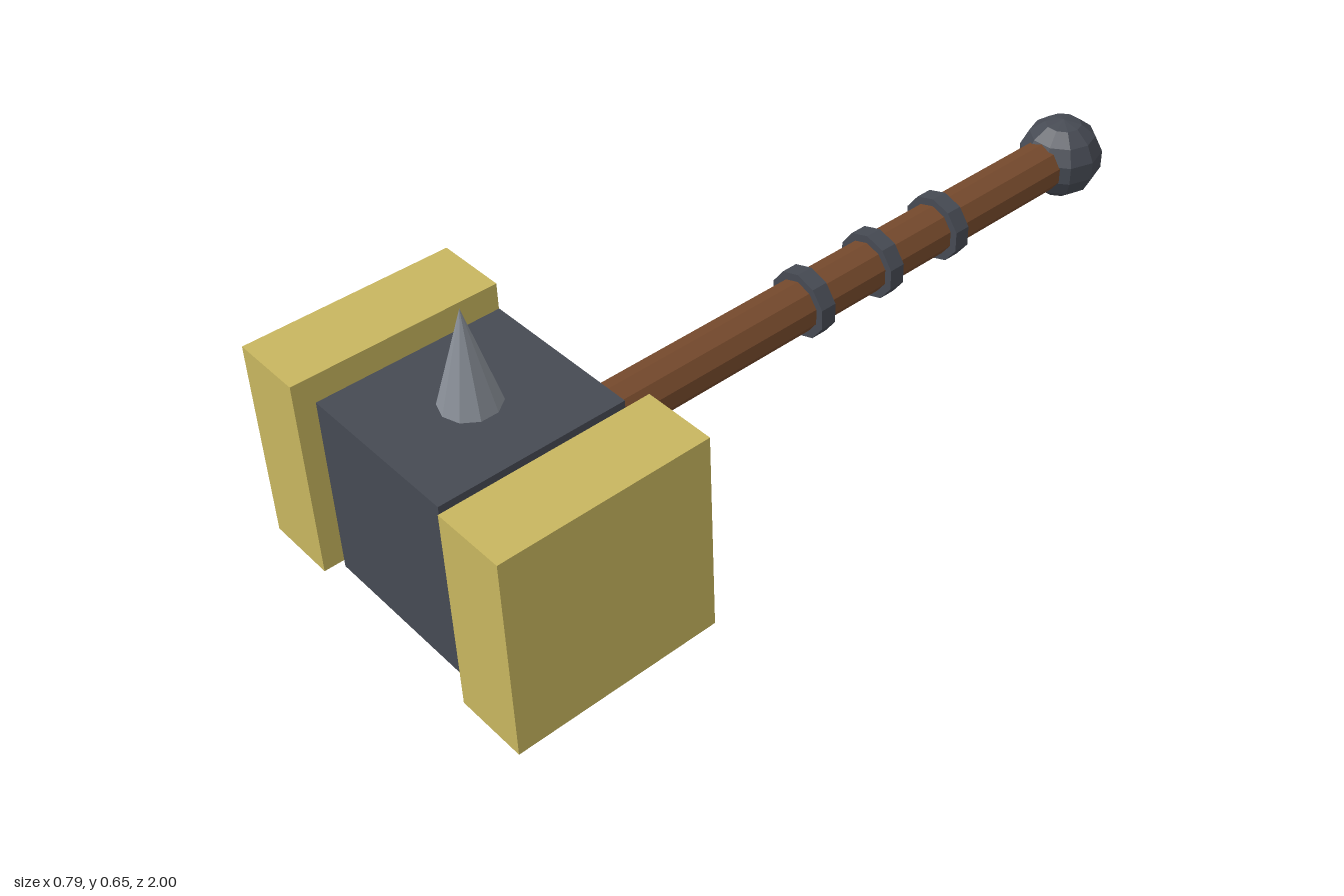
import * as THREE from 'three';

const AXIS_Y = 0.232; // height of the handle axis
const HEAD_Z = 0.768; // centre of the hammer head

function flatMaterial(name, color) {
  const m = new THREE.MeshStandardMaterial({ color, flatShading: true });
  m.name = name;
  return m;
}

export function createModel() {
  const iron = flatMaterial('dark iron', 0x464a53);
  const gold = flatMaterial('gold', 0xc8b65f);
  const steel = flatMaterial('steel', 0x888e96);
  const wood = flatMaterial('wood', 0x75492c);

  const group = new THREE.Group();
  group.name = 'warHammer';

  const add = (name, geometry, material, x, y, z) => {
    const mesh = new THREE.Mesh(geometry, material);
    mesh.name = name;
    mesh.position.set(x, y, z);
    group.add(mesh);
    return mesh;
  };
  // ten-sided rod lying along z
  const rod = (radius, length) =>
    new THREE.CylinderGeometry(radius, radius, length, 10).rotateX(Math.PI / 2);

  // Head: central block, necks and striking faces
  add('headBlock', new THREE.BoxGeometry(0.38, 0.413, 0.413), iron, 0, AXIS_Y, HEAD_Z);
  for (const [side, s] of [['left', 1], ['right', -1]]) {
    add(side + 'Neck', new THREE.BoxGeometry(0.06, 0.147, 0.147), iron, s * 0.21, AXIS_Y, HEAD_Z);
    add(side + 'StrikingFace', new THREE.BoxGeometry(0.165, 0.464, 0.464), gold, s * 0.3125, AXIS_Y, HEAD_Z);
  }

  // Spike on top of the head
  add('spike', new THREE.ConeGeometry(0.0625, 0.213, 10), steel, 0, 0.5445, HEAD_Z);

  // Handle with grip rings and pommel
  add('handle', rod(0.06, 1.46), wood, 0, AXIS_Y, -0.15);
  [-0.075, -0.281, -0.487].forEach((z, i) =>
    add('gripRing' + (i + 1), rod(0.078, 0.039), iron, 0, AXIS_Y, z));
  add('pommel', new THREE.SphereGeometry(0.098, 10, 7), iron, 0, AXIS_Y, -0.909);

  return group;
}
